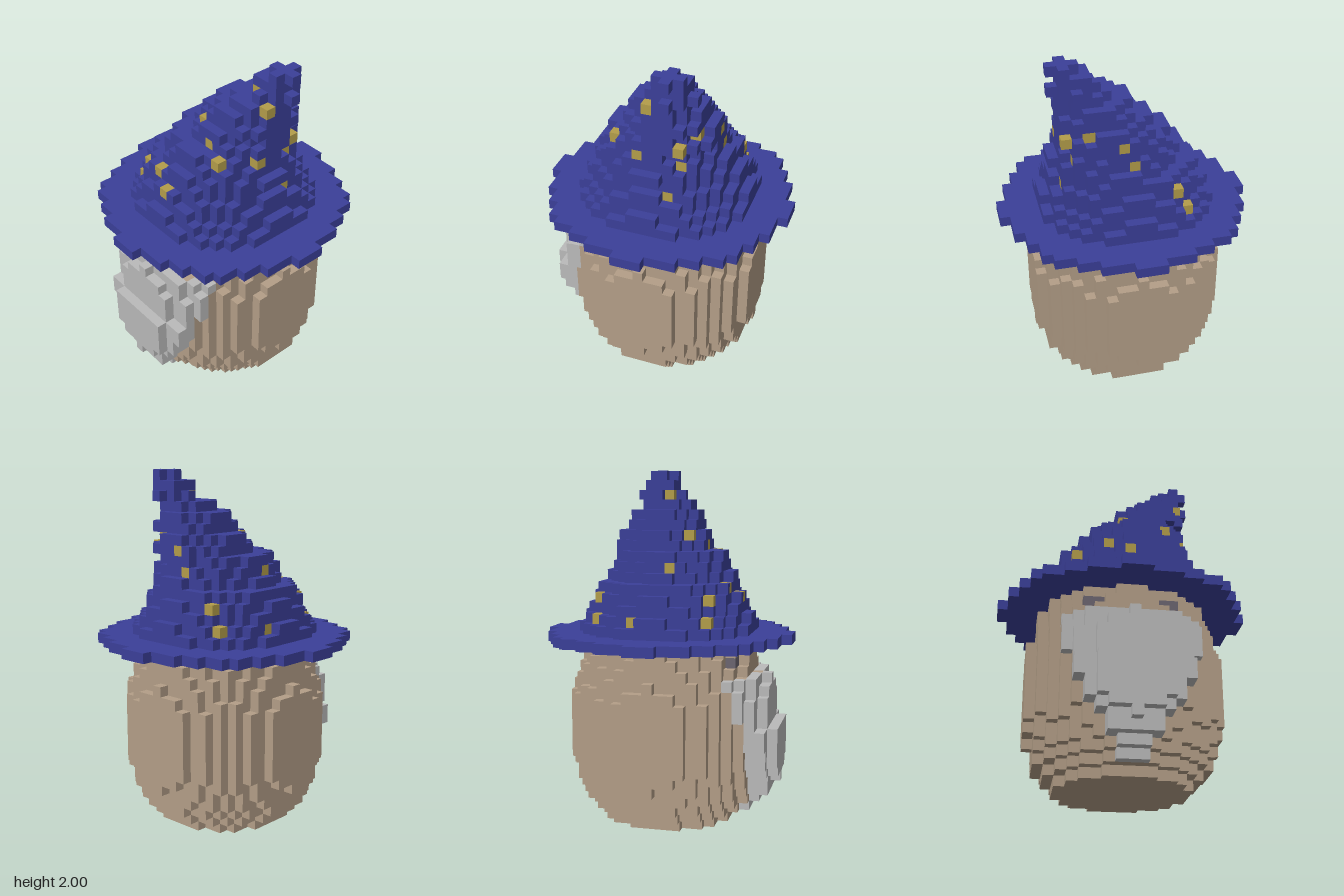
import * as THREE from 'three';

const S = 2 / 35; // cube size

const mat = (name, color) => {
  const m = new THREE.MeshStandardMaterial({ color });
  m.name = name;
  return m;
};

export function createModel() {
  const parts = {
    head: mat('skin tan', 0xb39e87),
    eyes: mat('eye grey', 0x6b6570),
    beard: mat('beard grey', 0xbababa),
    hat: mat('hat blue', 0x3b3f99),
    hatSpots: mat('spot gold', 0xb39d4a),
  };
  const cells = new Map();
  const key = (x, y, z) => `${x},${y},${z}`;
  const put = (x, y, z, part) => cells.set(key(x, y, z), { p: [x, y, z], part });

  // Fill one round layer of cubes
  const disc = (cx, cz, y, r, part) => {
    const n = Math.ceil(r);
    for (let x = -n; x <= n; x++)
      for (let z = -n; z <= n; z++)
        if (x * x + z * z <= r * r) put(cx + x, y, cz + z, part);
  };

  // Head: barrel radius for each layer, bottom to top
  const headR = [6.7, 7.6, 8.3, 8.7, 9.05, 9.25, 9.49, 9.49, 9.49, 9.49,
    9.49, 9.49, 9.49, 9.25, 9.05, 8.8, 8.5, 8.2];
  headR.forEach((r, y) => disc(0, 0, y, r, 'head'));

  // Eyes: two cubes each, set flush in the face
  for (const x of [-4, -3, 3, 4]) put(x, 16, 7, 'eyes');

  // Beard: half width for each layer, one or two cubes proud of the face
  const beardW = [1, 1, 2, 2, 3, 4, 4, 5, 5, 5, 6, 6, 6, 6];
  beardW.forEach((w, i) => {
    const y = i + 1;
    const depth = y >= 3 && y <= 9 ? 2 : 1;
    for (let x = -w; x <= w; x++) {
      const z = Math.floor(Math.sqrt(headR[y] ** 2 - x * x));
      for (let d = 1; d <= depth; d++) put(x, y, z + d, 'beard');
    }
  });

  // Hat: flat brim, then a cone leaning towards its tip
  disc(0, 0, 18, 12.05, 'hat');
  const lean = [0, 0, 0, 0, 0, 1, 1, 1, 2, 2, 3, 3, 4, 5, 5, 6];
  lean.forEach((cx, i) => disc(cx, -Math.round(cx / 3), 19 + i, 8.72 - 0.5 * i, 'hat'));

  // Gold spots on the cone
  const spots = [
    [4, 32, -1], [6, 31, 0], [0, 28, 2], [2, 27, 3], [4, 26, 4], [6, 26, 1],
    [-2, 23, 6], [0, 22, 7], [-5, 22, 5], [-6, 20, 5], [4, 28, -4], [6, 27, -3],
    [5, 25, -3], [6, 22, -2], [-5, 20, -6], [-4, 22, -6], [-7, 20, -2],
    [-4, 25, 1], [0, 25, -5], [1, 27, -5],
  ];
  for (const [x, y, z] of spots) put(x, y, z, 'hatSpots');

  // Skin the cubes: keep only faces without a neighbour
  const buffers = {};
  for (const name in parts) buffers[name] = { pos: [], nor: [], idx: [] };
  for (const { p, part } of cells.values()) {
    const b = buffers[part];
    for (let a = 0; a < 3; a++) {
      for (const s of [1, -1]) {
        const q = [...p];
        q[a] += s;
        if (cells.has(key(...q))) continue;
        const u = (a + (s > 0 ? 1 : 2)) % 3;
        const v = (a + (s > 0 ? 2 : 1)) % 3;
        const start = b.pos.length / 3;
        for (const [i, j] of [[-1, -1], [1, -1], [1, 1], [-1, 1]]) {
          const c = [p[0], p[1] + 0.5, p[2]];
          c[a] += s / 2;
          c[u] += i / 2;
          c[v] += j / 2;
          b.pos.push(c[0] * S, c[1] * S, c[2] * S);
          const n = [0, 0, 0];
          n[a] = s;
          b.nor.push(...n);
        }
        b.idx.push(start, start + 1, start + 2, start, start + 2, start + 3);
      }
    }
  }

  const group = new THREE.Group();
  group.name = 'beardedHeadWithHat';
  for (const name in parts) {
    const { pos, nor, idx } = buffers[name];
    const g = new THREE.BufferGeometry();
    g.setAttribute('position', new THREE.Float32BufferAttribute(pos, 3));
    g.setAttribute('normal', new THREE.Float32BufferAttribute(nor, 3));
    g.setIndex(idx);
    const mesh = new THREE.Mesh(g, parts[name]);
    mesh.name = name;
    group.add(mesh);
  }
  return group;
}
